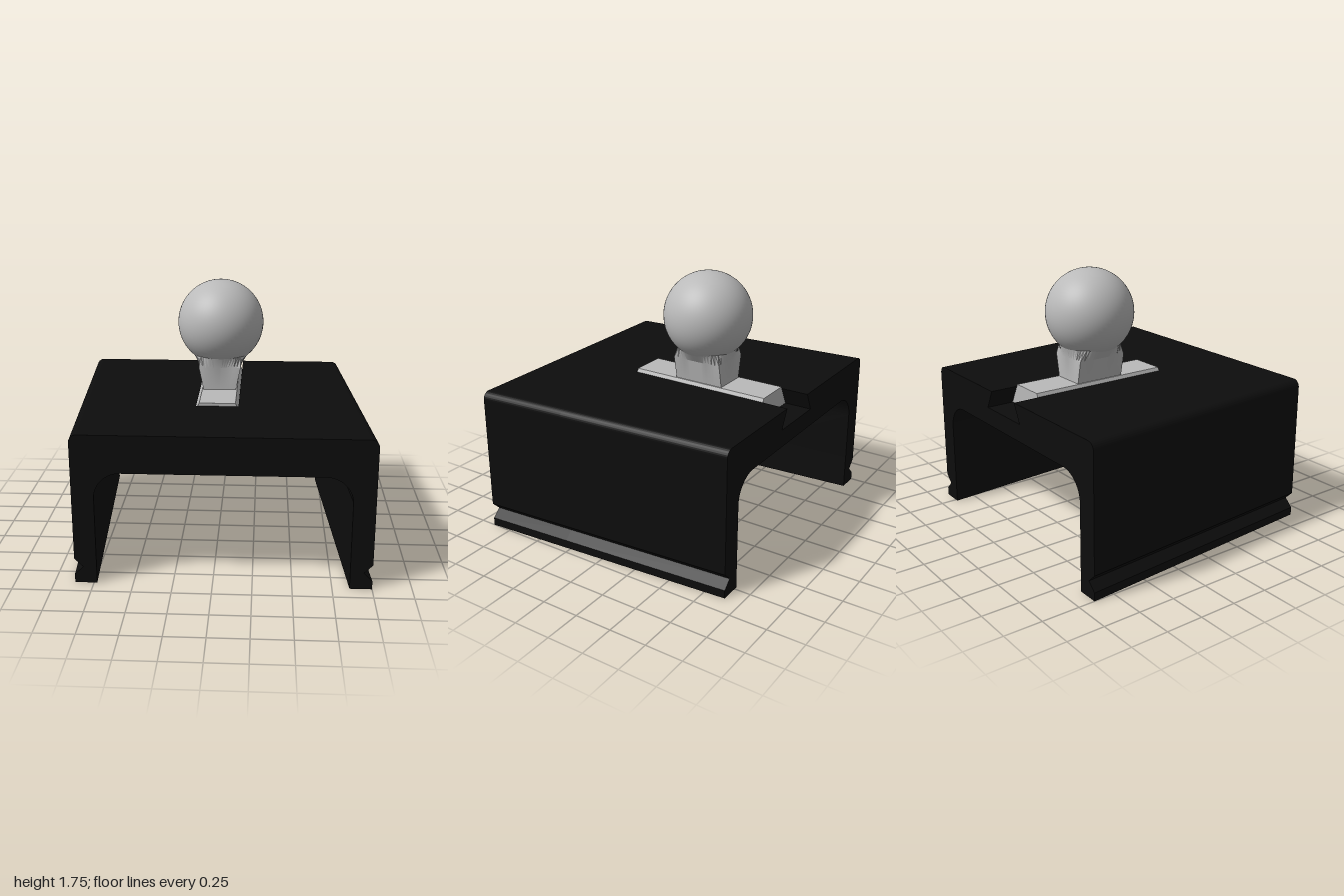
import * as THREE from 'three';
import { toCreasedNormals } from 'three/addons/utils/BufferGeometryUtils.js';

const black = new THREE.MeshStandardMaterial({ name: 'matte black', color: 0x0d0d0d });
const grey = new THREE.MeshStandardMaterial({ name: 'light grey', color: 0xbababa });

const HALF = 0.89;      // half length of the bridge
const SLOT_END = 0.28;  // where the dovetail slot stops
const SHEAR = 0.073;    // sideways skew per unit of z

// Arch cross-section with V notches low on the outside; optional dovetail slot on top
function archShape(withSlot) {
  const o = 0.935, i = 0.795, top = 0.99, under = 0.745, r = 0.05, R = 0.17;
  const s = new THREE.Shape();
  s.moveTo(i, 0);
  s.lineTo(o, 0);
  s.lineTo(o, 0.055);
  s.lineTo(o - 0.055, 0.11);
  s.lineTo(o, 0.165);
  s.lineTo(o, top - r);
  s.absarc(o - r, top - r, r, 0, Math.PI / 2, false);
  if (withSlot) {
    s.lineTo(0.14, top);
    s.lineTo(0.2, 0.865);
    s.lineTo(-0.2, 0.865);
    s.lineTo(-0.14, top);
  }
  s.lineTo(-o + r, top);
  s.absarc(-o + r, top - r, r, Math.PI / 2, Math.PI, false);
  s.lineTo(-o, 0.165);
  s.lineTo(-o + 0.055, 0.11);
  s.lineTo(-o, 0.055);
  s.lineTo(-o, 0);
  s.lineTo(-i, 0);
  s.lineTo(-i, under - R);
  s.absarc(-i + R, under - R, R, Math.PI, Math.PI / 2, true);
  s.lineTo(i - R, under);
  s.absarc(i - R, under - R, R, Math.PI / 2, 0, true);
  s.lineTo(i, 0);
  return s;
}

function extrude(shape, z0, z1) {
  const g = new THREE.ExtrudeGeometry(shape, { depth: z1 - z0, bevelEnabled: false, curveSegments: 16 });
  return g.translate(0, 0, z0);
}

// Skew the walls along z while the slot stays straight
function skew(g) {
  const p = g.attributes.position;
  for (let k = 0; k < p.count; k++) {
    if (Math.abs(p.getX(k)) > 0.21) p.setX(k, p.getX(k) + SHEAR * p.getZ(k));
  }
  return toCreasedNormals(g, 0.5);
}

// Neck: tapered rectangle blending into a circle under the ball
function neckGeometry() {
  const N = 64, pos = [], idx = [];
  const rings = [[1.0, 0.11, 0.175, 0], [1.165, 0.143, 0.175, 0], [1.245, 0.203, 0.203, 1]];
  for (const [y, a, b, round] of rings) {
    for (let k = 0; k < N; k++) {
      const t = (k / N) * Math.PI * 2, c = Math.cos(t), s = Math.sin(t);
      const m = round ? 1 : Math.max(Math.abs(c), Math.abs(s));
      pos.push((a * c) / m, y, (b * s) / m);
    }
  }
  for (let j = 0; j < rings.length - 1; j++) {
    for (let k = 0; k < N; k++) {
      const n = (k + 1) % N, a = j * N + k, b = j * N + n;
      idx.push(a, a + N, b, b, a + N, b + N);
    }
  }
  const g = new THREE.BufferGeometry();
  g.setAttribute('position', new THREE.Float32BufferAttribute(pos, 3));
  g.setIndex(idx);
  return toCreasedNormals(g, 0.35);
}

export function createModel() {
  const model = new THREE.Group();
  model.name = 'ballMountBridge';
  const add = (parent, name, geometry, material) => {
    const m = new THREE.Mesh(geometry, material);
    m.name = name;
    parent.add(m);
    return m;
  };

  // Skewed bridge: slotted rear section and solid front section
  const bridge = new THREE.Group();
  bridge.name = 'bridge';
  add(bridge, 'slottedSection', skew(extrude(archShape(true), -HALF, SLOT_END)), black);
  add(bridge, 'solidSection', skew(extrude(archShape(false), SLOT_END, HALF)), black);
  model.add(bridge);

  // Sliding ball mount
  const mount = new THREE.Group();
  mount.name = 'ballMount';
  const dovetail = new THREE.Shape([
    new THREE.Vector2(-0.19, 0.87), new THREE.Vector2(0.19, 0.87),
    new THREE.Vector2(0.12, 1.01), new THREE.Vector2(-0.12, 1.01),
  ]);
  add(mount, 'dovetailSlide', extrude(dovetail, -0.71, 0.279), grey);
  add(mount, 'neck', neckGeometry(), grey).position.z = -0.212;
  add(mount, 'ball', new THREE.SphereGeometry(0.295, 64, 40), grey).position.set(0, 1.45, -0.212);
  model.add(mount);
  return model;
}
